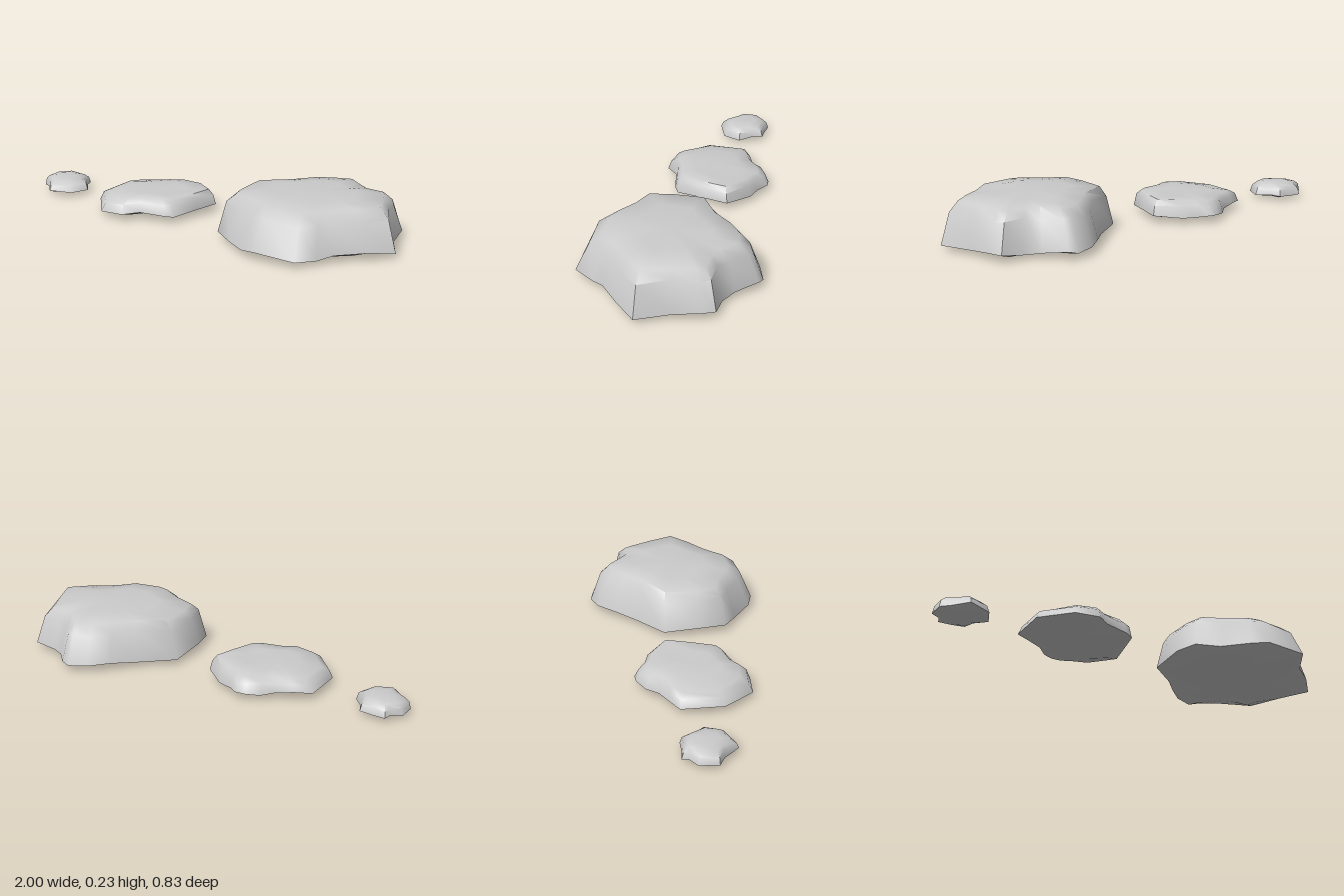
import * as THREE from 'three';
import { toCreasedNormals } from 'three/addons/utils/BufferGeometryUtils.js';

// Flat stone: the outline runs clockwise from above as [x, z, rimScale].
// Rings go under -> base edge -> shoulder -> rim -> inner top, then both ends are capped.
function stone(name, { cx, cz, outline, under, base, shoulder, rim, top, bulge, wave, tilt = 0 }) {
  const n = outline.length;
  const pos = [];
  const idx = [];
  const ring = (scaleOf, yOf) => outline.forEach(([x, z, s], i) => {
    const k = scaleOf(s);
    pos.push(cx + (x - cx) * k, yOf(i, x - cx), cz + (z - cz) * k);
  });
  ring(() => 0.75, (i) => under + wave * 0.6 * (1 + Math.sin(i * 1.3)));
  ring(() => 1, (i) => base + wave * Math.sin(i * 1.7));
  ring((s) => 1 - (1 - s) * bulge, (i, dx) => shoulder + wave * Math.sin(i * 2.1 + 1) + tilt * dx);
  ring((s) => s, (i, dx) => rim + wave * 0.5 * Math.sin(i * 1.1) + tilt * dx);
  ring((s) => s * 0.6, (i) => top - wave * 0.3 * (1 + Math.sin(i * 0.9)));

  const rings = 5;
  const low = rings * n;
  const high = low + 1;
  pos.push(cx, under + wave, cz, cx, top, cz);
  for (let i = 0; i < n; i++) {
    const j = (i + 1) % n;
    for (let r = 0; r < rings - 1; r++) {
      const a = r * n + i, b = r * n + j, c = b + n, d = a + n;
      idx.push(a, d, c, a, c, b);
    }
    idx.push(low, i, j, high, (rings - 1) * n + j, (rings - 1) * n + i);
  }
  const geo = new THREE.BufferGeometry();
  geo.setAttribute('position', new THREE.Float32BufferAttribute(pos, 3));
  geo.setIndex(idx);
  const mesh = new THREE.Mesh(toCreasedNormals(geo, 0.95), new THREE.MeshStandardMaterial({ color: 0xcccccc }));
  mesh.name = name;
  return mesh;
}

export function createModel() {
  const group = new THREE.Group();
  group.name = 'steppingStones';

  // Large thick stone
  group.add(stone('largeStone', {
    cx: 0.57, cz: 0, under: 0, base: 0.03, shoulder: 0.17, rim: 0.213, top: 0.23, bulge: 0.5, wave: 0.01,
    outline: [
      [0.57, -0.415, 0.74], [0.61, -0.405, 0.75], [0.69, -0.32, 0.78], [0.76, -0.28, 0.78],
      [0.87, -0.28, 0.78], [0.90, -0.23, 0.78], [0.92, -0.10, 0.85], [1.0, 0.045, 0.80],
      [0.91, 0.15, 0.78], [0.80, 0.245, 0.78], [0.755, 0.31, 0.76], [0.70, 0.405, 0.70],
      [0.50, 0.415, 0.71], [0.42, 0.39, 0.71], [0.30, 0.30, 0.75], [0.20, 0.24, 0.82],
      [0.172, 0.12, 0.83], [0.172, -0.07, 0.83], [0.31, -0.185, 0.78], [0.40, -0.30, 0.77],
      [0.48, -0.38, 0.76],
    ],
  }));

  // Medium flat stone, slightly lower on one side
  group.add(stone('mediumStone', {
    cx: -0.3, cz: 0.02, under: 0.016, base: 0.032, shoulder: 0.078, rim: 0.1, top: 0.108, bulge: 0.35, wave: 0.006,
    tilt: 0.04,
    outline: [
      [-0.57, -0.07, 0.83], [-0.50, -0.115, 0.85], [-0.42, -0.15, 0.85], [-0.37, -0.205, 0.82],
      [-0.31, -0.245, 0.8], [-0.265, -0.25, 0.8], [-0.22, -0.21, 0.84], [-0.145, -0.19, 0.85],
      [-0.035, -0.10, 0.88], [-0.065, 0.03, 0.88], [-0.10, 0.165, 0.85], [-0.14, 0.19, 0.85],
      [-0.26, 0.22, 0.85], [-0.325, 0.28, 0.8], [-0.45, 0.275, 0.78], [-0.57, 0.13, 0.82],
    ],
  }));

  // Small stone
  group.add(stone('smallStone', {
    cx: -0.88, cz: 0.01, under: 0.012, base: 0.022, shoulder: 0.054, rim: 0.072, top: 0.08, bulge: 0.3, wave: 0.004,
    outline: [
      [-1.0, -0.04, 0.8], [-0.955, -0.075, 0.82], [-0.945, -0.105, 0.75], [-0.88, -0.098, 0.76],
      [-0.82, -0.10, 0.72], [-0.80, -0.05, 0.8], [-0.75, 0.01, 0.68], [-0.785, 0.10, 0.7],
      [-0.89, 0.145, 0.7], [-0.955, 0.075, 0.8], [-1.0, 0.05, 0.8],
    ],
  }));

  return group;
}
